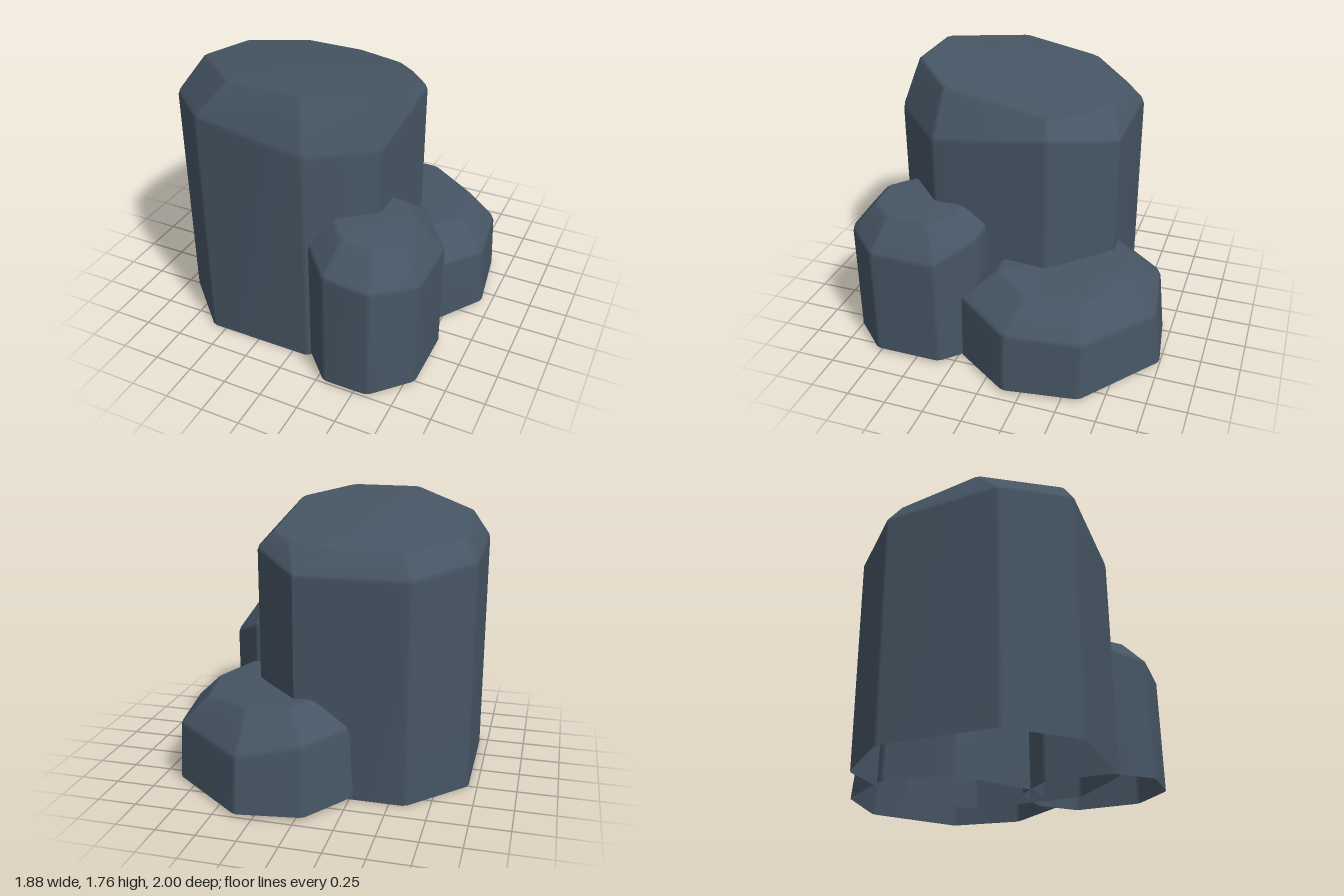
import * as THREE from 'three';

const V = (x, y, z) => new THREE.Vector3(x, y, z);
const BEVEL = 0.018;

// Move from a towards b by distance d (never past the middle)
function toward(a, b, d) {
  const len = a.distanceTo(b);
  return len < 1e-6 ? a.clone() : a.clone().lerp(b, Math.min(0.45, d / len));
}

// Cut every corner of a closed ring into two points
function cutCorners(ring) {
  const n = ring.length;
  return ring.flatMap((p, i) => [
    toward(p, ring[(i + n - 1) % n], BEVEL),
    toward(p, ring[(i + 1) % n], BEVEL),
  ]);
}

// Open-bottomed stone column: foot, shoulder and crown rings with softened edges.
// Rings run counterclockwise seen from above.
function stoneColumn(name, foot, shoulder, crown, material) {
  const shift = (from, to, d) => from.map((p, i) => toward(p, to[i], d));
  const centre = crown.reduce((s, p) => s.add(p), V(0, 0, 0)).divideScalar(crown.length);
  const rows = [
    foot,
    shift(shoulder, foot, BEVEL),
    shift(shoulder, crown, BEVEL),
    shift(crown, shoulder, BEVEL),
    crown.map((p) => toward(p, centre, BEVEL)),
  ].map(cutCorners);

  const n = rows[0].length;
  const points = [...rows.flat(), centre];
  const index = [];
  for (let r = 0; r < rows.length - 1; r++) {
    for (let i = 0; i < n; i++) {
      const a = r * n + i, b = r * n + ((i + 1) % n);
      index.push(a, b, b + n, a, b + n, a + n);
    }
  }
  const last = (rows.length - 1) * n;
  for (let i = 0; i < n; i++) index.push(points.length - 1, last + i, last + ((i + 1) % n));

  const geometry = new THREE.BufferGeometry().setFromPoints(points);
  geometry.setIndex(index);
  geometry.computeVertexNormals();
  const mesh = new THREE.Mesh(geometry, material);
  mesh.name = name;
  return mesh;
}

export function createModel() {
  const group = new THREE.Group();
  group.name = 'rockColumns';
  const stone = new THREE.MeshStandardMaterial({ color: 0x465564, side: THREE.DoubleSide });

  // Tall column: straight sides, slanted flat top, one back corner broken off
  const tallPlan = [
    [0.44, 0.48, 1.39], [0.44, -0.25, 1.48], [0.1, -0.61, 1.4], [0.1, -0.61, 1.4], [-0.6, -0.61, 1.4],
    [-0.945, -0.25, 1.45], [-0.945, 0.48, 1.49], [-0.59, 0.83, 1.55], [0.1, 0.83, 1.44],
  ];
  const tallTop = [
    [0.34, 0.43], [0.34, -0.22], [0.2, -0.36], [-0.16, -0.5], [-0.54, -0.5],
    [-0.845, -0.21], [-0.845, 0.3], [-0.42, 0.72], [0.04, 0.72],
  ];
  group.add(stoneColumn('tallColumn',
    tallPlan.map(([x, z]) => V(x, 0, z)),
    tallPlan.map(([x, z, y]) => V(x, y, z)),
    tallTop.map(([x, z]) => V(x, 1.765 + (z - 0.72) * 0.188, z)), stone));

  // Small column in front
  const smallPlan = [
    [0.81, 0.77, 0.74], [0.81, 0.34, 0.73], [0.6, 0.13, 0.85], [0.3, 0.13, 0.86],
    [0.1, 0.35, 0.86], [0.1, 0.79, 0.85], [0.3, 1.0, 0.8], [0.59, 1.0, 0.77],
  ];
  const smallTop = [
    [0.67, 0.7], [0.67, 0.44], [0.56, 0.29], [0.35, 0.29],
    [0.22, 0.42], [0.22, 0.69], [0.35, 0.84], [0.55, 0.84],
  ];
  group.add(stoneColumn('smallColumn',
    smallPlan.map(([x, z]) => V(x, 0.02, z)),
    smallPlan.map(([x, z, y]) => V(x, y, z)),
    smallTop.map(([x, z]) => V(x, 1.0 - (x - 0.22) * 0.12, z)), stone));

  // Low column behind: sides lean in slightly
  const lowPlan = [
    [0.94, -0.14, 0.41], [0.87, -0.61, 0.4], [0.36, -1.0, 0.37], [-0.05, -0.94, 0.45],
    [-0.31, -0.56, 0.48], [-0.24, -0.1, 0.49], [0.24, 0.23, 0.47], [0.69, 0.23, 0.46],
  ];
  const lowTop = [
    [0.73, -0.22, 0.59], [0.68, -0.56, 0.58], [0.35, -0.76, 0.61], [0.08, -0.73, 0.63],
    [-0.1, -0.5, 0.65], [-0.05, -0.2, 0.64], [0.25, 0.03, 0.64], [0.57, 0.02, 0.63],
  ];
  const lean = (v, c) => c + (v - c) * 0.96;
  group.add(stoneColumn('lowColumn',
    lowPlan.map(([x, z]) => V(x, 0.02, z)),
    lowPlan.map(([x, z, y]) => V(lean(x, 0.4), y, z < -0.9 ? z + 0.04 : z)),
    lowTop.map(([x, z, y]) => V(x, y, z)), stone));

  return group;
}
